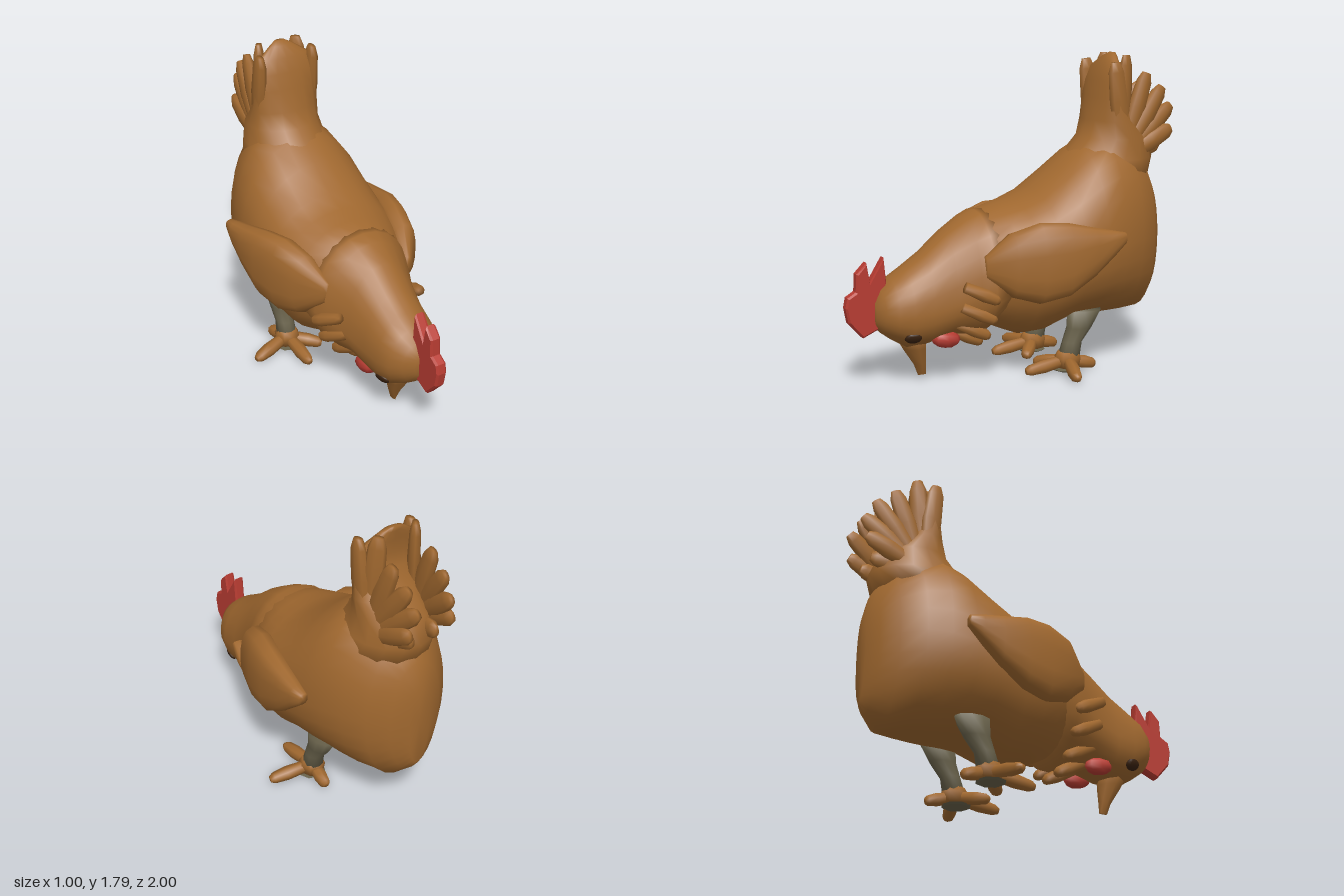
import * as THREE from 'three';

const mat = (name, color, extra = {}) => Object.assign(new THREE.MeshStandardMaterial({ color, ...extra }), { name });

// Loft along falling z. Station: [z, bottom, widest level, top, half width, centre x]
function loft(stations, sides = 20, power = 1) {
  const pos = [], idx = [];
  const bend = v => Math.sign(v) * Math.abs(v) ** power;
  stations.forEach(([z, yb, ym, yt, w, cx = 0]) => {
    for (let i = 0; i < sides; i++) {
      const t = (i / sides) * Math.PI * 2, c = bend(Math.cos(t));
      pos.push(cx + w * bend(Math.sin(t)), ym + c * (c > 0 ? yt - ym : ym - yb), z);
    }
  });
  const n = stations.length;
  for (let k = 0; k < n - 1; k++) {
    for (let i = 0; i < sides; i++) {
      const j = (i + 1) % sides, a = k * sides + i, b = k * sides + j;
      idx.push(a, b, a + sides, b, b + sides, a + sides);
    }
  }
  // end caps
  [0, n - 1].forEach((k, end) => {
    const [z, , ym, , , cx = 0] = stations[k], centre = pos.length / 3;
    pos.push(cx, ym, z);
    for (let i = 0; i < sides; i++) {
      const a = k * sides + i, b = k * sides + (i + 1) % sides;
      if (end) idx.push(centre, a, b); else idx.push(centre, b, a);
    }
  });
  const g = new THREE.BufferGeometry();
  g.setAttribute('position', new THREE.Float32BufferAttribute(pos, 3));
  g.setIndex(idx);
  g.computeVertexNormals();
  return g;
}

// Upright loft. Station: [y, back z, front z, half width, centre x], rising
const loftUp = (stations, sides) => loft(
  stations.map(([y, zb, zf, w, cx]) => [-y, zb, (zb + zf) / 2, zf, w, cx]), sides).rotateX(Math.PI / 2);

export function createModel() {
  const group = new THREE.Group();
  group.name = 'hen';
  const brown = mat('plumage brown', 0xa0682f);
  const red = mat('comb red', 0xb83c32);
  const grey = mat('leg grey', 0x6a634c);
  const dark = mat('eye dark brown', 0x3a2210);

  const add = (name, geometry, material = brown) => {
    const m = new THREE.Mesh(geometry, material);
    m.name = name;
    group.add(m);
    return m;
  };

  // Tapered bar from one point to another; thick runs sideways, wide runs upright
  const bladeShape = (a, b, c) => loft(
    [[1, a], [0.9, b], [0.6, c], [0, 0.6]].map(([z, r]) => [z, -r, 0, r, r]), 8, 0.8);
  const featherGeo = bladeShape(0.5, 0.85, 1), toeGeo = bladeShape(0.35, 0.6, 0.75);
  const blade = (name, geo, from, to, thick, wide) => {
    const a = new THREE.Vector3(...from), b = new THREE.Vector3(...to);
    const m = add(name, geo);
    m.position.copy(a);
    m.lookAt(b);
    m.scale.set(thick, wide, a.distanceTo(b));
  };

  // Body
  add('body', loft([
    [0.30, 0.40, 0.60, 0.88, 0.20], [0.22, 0.32, 0.60, 0.945, 0.30],
    [0.10, 0.26, 0.62, 0.975, 0.37], [0, 0.22, 0.64, 1.0, 0.41],
    [-0.12, 0.225, 0.66, 1.05, 0.42], [-0.28, 0.285, 0.68, 1.17, 0.42],
    [-0.42, 0.29, 0.72, 1.28, 0.415], [-0.55, 0.285, 0.75, 1.34, 0.39],
    [-0.68, 0.285, 0.76, 1.3, 0.345], [-0.80, 0.29, 0.75, 1.22, 0.27],
    [-0.88, 0.37, 0.74, 1.08, 0.17], [-0.92, 0.43, 0.72, 0.94, 0.07],
  ], 28, 0.95));

  // Lowered neck and head
  add('neckAndHead', loft([
    [0.835, 0.36, 0.43, 0.49, 0.06], [0.80, 0.31, 0.43, 0.56, 0.12],
    [0.74, 0.265, 0.42, 0.615, 0.17], [0.66, 0.215, 0.42, 0.665, 0.195],
    [0.55, 0.22, 0.43, 0.74, 0.205], [0.42, 0.26, 0.47, 0.85, 0.23],
    [0.30, 0.25, 0.52, 0.925, 0.285], [0.23, 0.26, 0.55, 0.955, 0.32],
    [0.15, 0.36, 0.57, 0.955, 0.34],
  ], 24, 0.95));

  // Beak pointing down
  add('beak', loftUp([
    [0.035, 0.525, 0.575, 0.008], [0.10, 0.525, 0.60, 0.035],
    [0.20, 0.525, 0.665, 0.075], [0.30, 0.53, 0.72, 0.11]], 8));

  // Comb
  const comb = new THREE.Shape([
    [0.77, 0.56], [0.82, 0.42], [0.82, 0.34], [0.90, 0.305], [0.975, 0.39], [0.99, 0.47],
    [0.98, 0.52], [0.93, 0.55], [0.925, 0.65], [0.88, 0.70], [0.86, 0.59], [0.78, 0.72],
  ].map(p => new THREE.Vector2(...p)));
  add('comb', new THREE.ExtrudeGeometry(comb, {
    depth: 0.04, bevelThickness: 0.012, bevelSize: 0.01, bevelSegments: 1,
  }).translate(0, 0, -0.02).rotateY(-Math.PI / 2), red);

  // Tail root with its tall front shield
  add('tailRoot', loftUp([
    [1.05, -0.85, -0.2, 0.30], [1.2, -0.9, -0.33, 0.235], [1.32, -0.85, -0.45, 0.22],
    [1.42, -0.74, -0.49, 0.21], [1.55, -0.66, -0.52, 0.20], [1.64, -0.65, -0.545, 0.20],
    [1.72, -0.66, -0.57, 0.16], [1.78, -0.67, -0.61, 0.07], [1.80, -0.67, -0.64, 0.03]], 16));

  const fan = [ // tip x, y, z and root x
    [0.17, 1.755, -0.58, 0.17], [0.12, 1.79, -0.68, 0.15], [0.13, 1.685, -0.81, 0.15],
    [0.12, 1.6, -0.92, 0.16], [0.11, 1.49, -0.985, 0.16], [0.14, 1.36, -0.97, 0.16],
    [0.08, 1.27, -0.92, 0.12],
  ];
  const toes = [[0, 0.005], [0.25, -0.19], [-0.165, -0.13], [0.02, -0.425]];

  for (const s of [1, -1]) {
    const side = s > 0 ? 'left' : 'right';

    // Fanned tail feathers
    fan.forEach(([x, y, z, rx]) =>
      blade(side + 'TailFeather', featherGeo, [s * rx, 1.2, -0.64], [s * x, y, z], 0.035, 0.058));

    // Folded wing
    add(side + 'Wing', loft([
      [0.28, 0.62, 0.68, 0.74, 0.03, 0.27], [0.15, 0.51, 0.68, 0.87, 0.09, 0.33],
      [0, 0.465, 0.68, 0.92, 0.10, 0.37], [-0.15, 0.50, 0.70, 0.915, 0.09, 0.41],
      [-0.30, 0.60, 0.75, 0.88, 0.07, 0.43], [-0.42, 0.71, 0.79, 0.855, 0.05, 0.445],
      [-0.49, 0.775, 0.81, 0.84, 0.03, 0.45],
    ].map(([z, b, m, t, w, x]) => [z, b, m, t, w, s * x]), 14, 0.8));

    // Hackle feather tips at the base of the neck
    for (const [x, y] of [[0.07, 0.2], [0.18, 0.26], [0.27, 0.37], [0.315, 0.49]]) {
      blade(side + 'HackleFeather', toeGeo, [s * x * 0.85, y + 0.09, 0.4], [s * x, y, 0.215], 0.06, 0.05);
    }

    // Wattle and eye
    const wattle = add(side + 'Wattle', new THREE.SphereGeometry(1, 8, 6), red);
    wattle.scale.set(0.045, 0.05, 0.088);
    wattle.position.set(s * 0.125, 0.26, 0.455);
    wattle.rotation.x = -0.15;
    const eye = add(side + 'Eye', new THREE.SphereGeometry(1, 12, 8), dark);
    eye.position.set(s * 0.152, 0.295, 0.66);
    eye.lookAt(s * 0.95, -0.2, 0.86);
    eye.scale.set(0.048, 0.035, 0.016);

    // Leg
    add(side + 'Leg', loftUp([
      [0.09, -0.33, -0.2, 0.06, s * 0.22], [0.18, -0.345, -0.23, 0.055, s * 0.22],
      [0.26, -0.41, -0.255, 0.06, s * 0.22], [0.36, -0.47, -0.26, 0.075, s * 0.22]], 10), grey);

    // Foot with four toes and a grey sole
    add(side + 'Foot', loftUp([
      [0.035, -0.33, -0.19, 0.065, s * 0.22], [0.09, -0.34, -0.18, 0.075, s * 0.22],
      [0.125, -0.32, -0.2, 0.055, s * 0.22]], 8));
    toes.forEach(([x, z]) =>
      blade(side + 'Toe', toeGeo, [s * 0.22, 0.075, -0.26], [s * (0.22 + x), 0.035, z], 0.052, 0.05));
    const sole = add(side + 'Sole', new THREE.CylinderGeometry(0.085, 0.07, 0.009, 8), grey);
    sole.position.set(s * 0.22, 0.022, -0.25);
  }
  return group;
}
